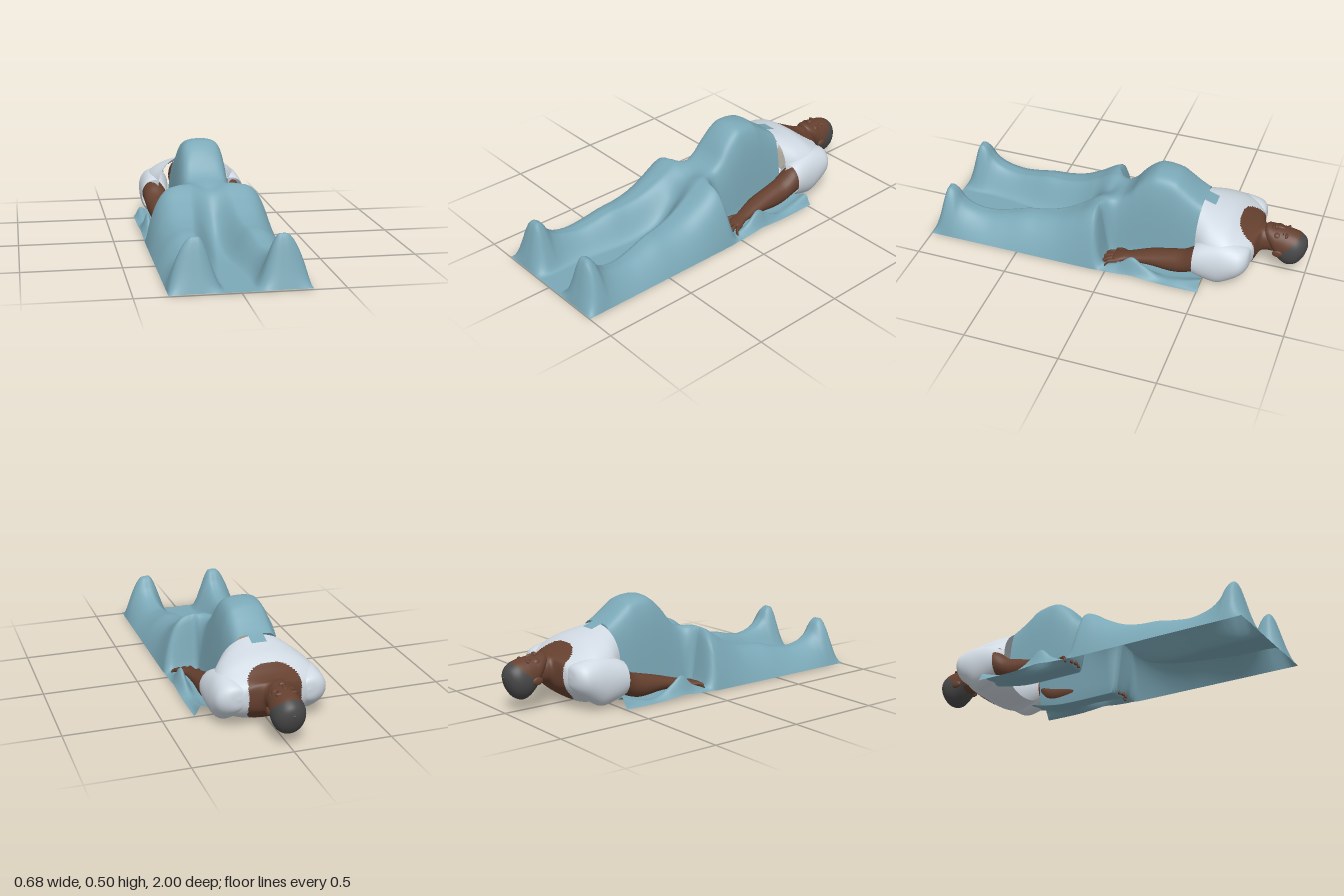
import * as THREE from 'three';

const mat = (name, color, side = THREE.FrontSide) => {
  const m = new THREE.MeshStandardMaterial({ color, side });
  m.name = name;
  return m;
};

// Smooth curve through [t, value] points
function curve(pts) {
  const slope = i => {
    const a = pts[Math.max(0, i - 1)], b = pts[Math.min(pts.length - 1, i + 1)];
    return (b[1] - a[1]) / (b[0] - a[0]);
  };
  return t => {
    let i = 0;
    while (i < pts.length - 2 && t > pts[i + 1][0]) i++;
    const [t0, v0] = pts[i], [t1, v1] = pts[i + 1], d = t1 - t0;
    const u = Math.min(1, Math.max(0, (t - t0) / d)), u2 = u * u, u3 = u2 * u;
    return (2 * u3 - 3 * u2 + 1) * v0 + (u3 - 2 * u2 + u) * d * slope(i)
      + (3 * u2 - 2 * u3) * v1 + (u3 - u2) * d * slope(i + 1);
  };
}

// Skin over rings [x, y, z, halfWidth, halfHeight] ordered by rising z;
// pick() chooses a material index for each face.
function loft(name, rings, materials, { seg = 32, steps = 5, power = 2, pick = null } = {}) {
  const comps = [0, 1, 2, 3, 4].map(k => curve(rings.map((r, i) => [i, r[k]])));
  const rows = (rings.length - 1) * steps, pos = [], lists = [[], []];
  const bend = v => Math.sign(v) * Math.abs(v) ** (2 / power);
  for (let i = 0; i <= rows; i++) {
    const [x, y, z, rx, ry] = comps.map(c => c(i / steps));
    for (let j = 0; j < seg; j++) {
      const a = j / seg * Math.PI * 2;
      pos.push(x + Math.max(rx, 0.001) * bend(Math.cos(a)), y + Math.max(ry, 0.001) * bend(Math.sin(a)), z);
    }
  }
  for (let i = 0; i < rows; i++) for (let j = 0; j < seg; j++) {
    const a = i * seg + j, b = i * seg + (j + 1) % seg, c = a + seg, d = b + seg;
    const mid = k => (pos[a * 3 + k] + pos[d * 3 + k]) / 2;
    lists[pick ? pick(mid(0), mid(1), mid(2)) : 0].push(a, b, c, b, d, c);
  }
  const g = new THREE.BufferGeometry();
  g.setAttribute('position', new THREE.Float32BufferAttribute(pos, 3));
  g.setIndex([...lists[0], ...lists[1]]);
  if (pick) {
    g.addGroup(0, lists[0].length, 0);
    g.addGroup(lists[0].length, lists[1].length, 1);
  }
  g.computeVertexNormals();
  const mesh = new THREE.Mesh(g, materials);
  mesh.name = name;
  return mesh;
}

// Blanket height rules
const crest = curve([[-0.51, 0.364], [-0.45, 0.386], [-0.4, 0.42], [-0.35, 0.46], [-0.3, 0.493], [-0.2, 0.505],
  [-0.15, 0.48], [-0.1, 0.43], [-0.05, 0.36], [0, 0.322], [0.1, 0.312], [0.2, 0.25], [0.3, 0.2], [0.4, 0.175],
  [0.5, 0.165], [0.6, 0.14], [0.7, 0.125], [0.8, 0.145], [0.86, 0.19], [0.89, 0.242], [0.93, 0.255],
  [0.95, 0.2], [0.975, 0.1], [1, 0.01]]);
const valley = curve([[0, 0.305], [0.05, 0.295], [0.12, 0.265], [0.2, 0.165], [0.3, 0.07], [0.45, 0.025], [0.7, 0.012], [1, 0.008]]);
const legX = curve([[0, 0.12], [0.2, 0.135], [0.5, 0.175], [0.8, 0.215], [1, 0.222]]);
const sideDrop = curve([[0, 3.7], [0.15, 3.5], [0.3, 2.7], [0.5, 2.1], [0.8, 1.8], [1, 1.8]]);
const edgeFold = curve([[-0.51, 0.02], [-0.4, 0.012], [-0.3, 0.015], [-0.2, 0.07], [-0.14, 0.108], [-0.07, 0.05], [0, 0.02]]);
const backLift = curve([[-0.51, 0.035], [-0.42, 0.015], [-0.3, 0], [0, 0]]);
const smooth = THREE.MathUtils.smoothstep;

function blanketHeight(x, z) {
  const a = Math.abs(x), top = crest(z), c = legX(z);
  // legs and feet, with soft thighs and steeper feet
  const start = 0.32 * smooth(z, 0.25, 0.85);
  const legs = a < c
    ? valley(z) + (top - valley(z)) * smooth(a / c, start, 0.88)
    : 0.008 + (top - 0.008) * (1 - Math.min(1, (a - c) / (0.34 - c)) ** sideDrop(z));
  // rounded belly with the low sheet beside it
  const hem = 1 - smooth(a, 0.3, 0.34);
  const low = 0.01 + backLift(z) * hem + edgeFold(z) * Math.exp(-(((a - 0.3) / 0.028) ** 2));
  const round = 0.027 * Math.min(1, (a / 0.12) ** 2) * smooth(top, 0.33, 0.48);
  const belly = low + (top - round - low) * Math.max(0, 1 - (a / 0.157) ** 7);
  const fold = 0.03 * smooth(a, 0.14, 0.18);
  return THREE.MathUtils.lerp(belly, legs, smooth(z, -0.01 + fold, 0.075 + fold / 3));
}

function makeBlanket(material) {
  const nx = 120, nz = 151, pos = [], idx = [];
  const X = i => -0.34 + 0.68 * i / nx, Z = k => -0.51 + 1.51 * k / nz;
  for (let k = 0; k <= nz; k++) for (let i = 0; i <= nx; i++) pos.push(X(i), blanketHeight(X(i), Z(k)), Z(k));
  for (let k = 0; k < nz; k++) for (let i = 0; i < nx; i++) {
    const a = Math.abs(X(i + 0.5));
    if (a > 0.042 && a < 0.156 && Z(k) < -0.458) continue; // notches beside the centre tab
    const p = k * (nx + 1) + i, q = p + nx + 1;
    idx.push(p, q, p + 1, p + 1, q, q + 1);
  }
  const g = new THREE.BufferGeometry();
  g.setAttribute('position', new THREE.Float32BufferAttribute(pos, 3));
  g.setIndex(idx);
  g.computeVertexNormals();
  const mesh = new THREE.Mesh(g, material);
  mesh.name = 'blanket';
  return mesh;
}

export function createModel() {
  const root = new THREE.Group();
  root.name = 'recliningPatient';
  const skin = mat('skin', 0x65402f);
  const cloth = mat('blanketCloth', 0x7ba8b7, THREE.DoubleSide);
  const shirt = mat('shirtCloth', 0xd0d9e2, THREE.DoubleSide);
  const hair = mat('hair', 0x484848);
  const lips = mat('lips', 0x583529);
  const eyes = mat('eyes', 0x2c1d18);
  const ball = (name, m, x, y, z, rx, ry, rz) => {
    const b = new THREE.Mesh(new THREE.SphereGeometry(1, 20, 14), m);
    b.name = name;
    b.position.set(x, y, z);
    b.scale.set(rx, ry, rz);
    root.add(b);
  };

  root.add(makeBlanket(cloth));

  // Torso: shirt with a wide scoop neck showing skin front and back
  root.add(loft('torso', [
    [0, 0.185, -0.83, 0.058, 0.058], [0, 0.192, -0.79, 0.063, 0.067], [0, 0.19, -0.76, 0.08, 0.074],
    [0, 0.178, -0.737, 0.17, 0.085], [0, 0.168, -0.7, 0.25, 0.108], [0, 0.166, -0.66, 0.275, 0.134],
    [0, 0.17, -0.6, 0.275, 0.166], [0, 0.186, -0.52, 0.25, 0.173], [0, 0.2, -0.448, 0.2, 0.179],
  ], [shirt, skin], {
    seg: 128, steps: 16, power: 2.15,
    pick: (x, y, z) => (Math.abs(x) / 0.135) ** 2.6 + (Math.max(0, z + 0.76) / 0.118) ** 2.6 < 1 ? 1 : 0,
  }));

  // Head with hair over the crown and back
  root.add(loft('head', [
    [0, 0.185, -1, 0.002, 0.002], [0, 0.182, -0.992, 0.034, 0.036], [0, 0.173, -0.975, 0.06, 0.066],
    [0, 0.165, -0.945, 0.078, 0.092], [0, 0.164, -0.9, 0.083, 0.103], [0, 0.182, -0.855, 0.078, 0.091],
    [0, 0.212, -0.82, 0.07, 0.063], [0, 0.234, -0.79, 0.053, 0.045], [0, 0.243, -0.776, 0.034, 0.03],
    [0, 0.246, -0.769, 0.002, 0.002],
  ], [skin, hair], {
    seg: 72, steps: 12,
    pick: (x, y, z) => z < -0.958 + 4 * x * x || (z < -0.83 && y < 0.165 + Math.max(0, -0.865 - z) * 0.8) ? 1 : 0,
  }));
  ball('nose', skin, 0, 0.268, -0.847, 0.01, 0.014, 0.03);
  ball('noseTip', skin, 0, 0.274, -0.829, 0.019, 0.014, 0.011);
  ball('upperLip', lips, 0, 0.27, -0.808, 0.025, 0.007, 0.006);
  ball('lowerLip', lips, 0, 0.27, -0.8, 0.021, 0.007, 0.006);

  for (const s of [1, -1]) {
    const side = s > 0 ? 'left' : 'right';
    const limb = (name, rings, m, opts) =>
      root.add(loft(side + name, rings.map(([x, ...r]) => [s * x, ...r]), m, opts));

    ball(side + 'Ear', skin, s * 0.081, 0.16, -0.858, 0.009, 0.02, 0.028);
    ball(side + 'Eye', eyes, s * 0.03, 0.257, -0.872, 0.011, 0.006, 0.005);
    ball(side + 'Brow', skin, s * 0.03, 0.254, -0.89, 0.026, 0.011, 0.01);
    ball(side + 'Cheek', skin, s * 0.036, 0.242, -0.84, 0.024, 0.022, 0.026);

    // Short wide sleeve flowing out of the shoulder
    limb('Sleeve', [
      [0.18, 0.18, -0.74, 0.002, 0.002], [0.185, 0.178, -0.732, 0.055, 0.05], [0.2, 0.17, -0.7, 0.08, 0.08],
      [0.208, 0.155, -0.64, 0.084, 0.11], [0.213, 0.142, -0.58, 0.082, 0.125], [0.22, 0.143, -0.5, 0.077, 0.106],
      [0.222, 0.143, -0.458, 0.074, 0.088],
    ], shirt);

    // Arm resting along the body
    limb('Arm', [
      [0.222, 0.14, -0.56, 0.06, 0.075], [0.218, 0.135, -0.47, 0.065, 0.074], [0.21, 0.096, -0.4, 0.064, 0.064],
      [0.208, 0.08, -0.33, 0.06, 0.06], [0.209, 0.072, -0.22, 0.054, 0.04], [0.221, 0.061, -0.13, 0.042, 0.026],
      [0.228, 0.056, -0.09, 0.038, 0.021], [0.237, 0.05, -0.05, 0.046, 0.018], [0.24, 0.047, -0.025, 0.043, 0.015],
      [0.24, 0.046, -0.016, 0.002, 0.002],
    ], skin, { seg: 24 });

    // Spread fingers and thumb
    for (let i = 0; i < 4; i++) {
      const bx = 0.207 + 0.022 * i, tx = 0.208 + 0.032 * i, tz = [0.038, 0.046, 0.04, 0.018][i];
      limb('Finger' + (i + 1), [
        [bx, 0.047, -0.05, 0.012, 0.012], [(bx + tx) / 2, 0.045, -0.008, 0.011, 0.012],
        [tx, 0.026, tz - 0.012, 0.01, 0.014], [tx, 0.012, tz, 0.001, 0.001],
      ], skin, { seg: 10, steps: 4 });
    }
    limb('Thumb', [
      [0.208, 0.052, -0.1, 0.016, 0.014], [0.184, 0.044, -0.06, 0.015, 0.014],
      [0.168, 0.03, -0.02, 0.011, 0.012], [0.165, 0.026, -0.008, 0.001, 0.001],
    ], skin, { seg: 10, steps: 4 });
  }
  return root;
}
